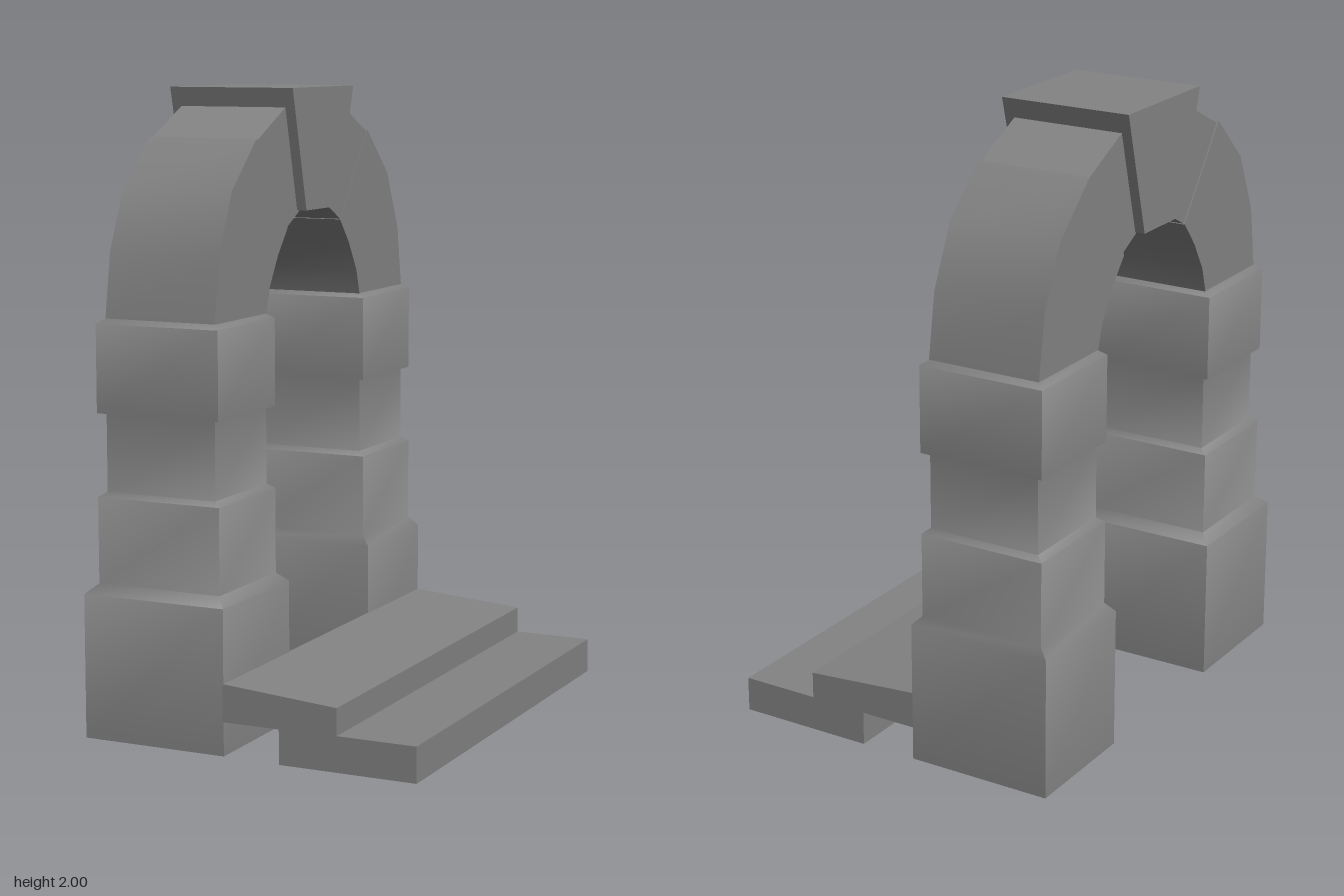
import * as THREE from 'three';
import { toCreasedNormals } from 'three/addons/utils/BufferGeometryUtils.js';

const stone = new THREE.MeshStandardMaterial({ color: 0x838383 });
const CREASE = 1.0;

// Extrudes an [x, y] outline along z, from z = 0 to depth
function extrude(points, depth) {
  const shape = new THREE.Shape(points.map(([x, y]) => new THREE.Vector2(x, y)));
  return new THREE.ExtrudeGeometry(shape, { depth, bevelEnabled: false });
}

// Extrudes a [z, y] outline along x, between x0 and x1, with softened facets
function slab(points, x0, x1) {
  const geo = extrude(points, x1 - x0).rotateY(-Math.PI / 2).translate(x1, 0, 0);
  return toCreasedNormals(geo, CREASE);
}

// Closed loft through level rectangles [y, x0, x1, z0, z1], listed upwards
function loft(rings) {
  const pos = [], index = [];
  for (const [y, x0, x1, z0, z1] of rings) {
    pos.push(x0, y, z1, x1, y, z1, x1, y, z0, x0, y, z0);
  }
  for (let r = 0; r < rings.length - 1; r++) {
    for (let i = 0; i < 4; i++) {
      const a = r * 4 + i, b = r * 4 + (i + 1) % 4;
      index.push(a, b, b + 4, a, b + 4, a + 4);
    }
  }
  const t = (rings.length - 1) * 4;
  index.push(0, 2, 1, 0, 3, 2, t, t + 1, t + 2, t, t + 2, t + 3);
  const geo = new THREE.BufferGeometry();
  geo.setAttribute('position', new THREE.Float32BufferAttribute(pos, 3));
  geo.setIndex(index);
  return toCreasedNormals(geo, CREASE);
}

export function createModel() {
  const model = new THREE.Group();
  model.name = 'archWithSteps';
  const add = (name, geo, parent) => {
    const mesh = new THREE.Mesh(geo, stone);
    mesh.name = name;
    parent.add(mesh);
    return mesh;
  };

  // Arch: piers, voussoirs and keystone
  const arch = new THREE.Group();
  arch.name = 'arch';
  arch.position.z = -0.01;
  model.add(arch);

  for (const side of [1, -1]) {
    const label = side > 0 ? 'front' : 'back';

    // Pier of stacked blocks with sloped shoulders: [x0, x1, inner z, outer z]
    const base = side > 0 ? [-0.56, -0.077, 0.291, 0.733] : [-0.555, -0.077, 0.3, 0.715];
    const block = [-0.527, -0.107, 0.324, 0.697];
    const neck = [-0.504, -0.129, 0.342, 0.678];
    const levels = [
      [0.005, base], [0.46, base], [0.49, block], [0.76, block], [0.775, neck],
      [1.02, neck], [1.02, block], [1.295, block], [1.31, neck],
    ];
    add(label + 'Pier', loft(levels.map(([y, [x0, x1, zi, zo]]) =>
      side > 0 ? [y, x0, x1, zi, zo] : [y, x0, x1, -zo, -zi])), arch);

    // Curved arch stones from the pier up to the keystone
    const mirror = (pts) => pts.map(([z, y]) => [z * side, y]);
    add(label + 'SpringerStone', slab(mirror([
      [0.342, 1.3], [0.678, 1.3], [0.645, 1.51], [0.56, 1.7], [0.4, 1.85],
      [0.19, 1.565], [0.257, 1.485], [0.315, 1.39],
    ]), -0.504, -0.128), arch);
    add(label + 'CrownStone', slab(mirror([
      [0.195, 1.565], [0.395, 1.844], [0.2, 1.94], [0.11, 1.61],
    ]), -0.498, -0.129), arch);
  }

  add('keystone', slab([
    [-0.114, 1.615], [0.122, 1.615], [0.216, 2], [-0.222, 2],
  ], -0.53, -0.096), arch);

  // Two steps with a notch beneath the upper one
  const steps = add('steps', extrude([
    [-0.08, 0.112], [0.11, 0.112], [0.11, 0.003], [0.56, 0.003],
    [0.56, 0.115], [0.302, 0.115], [0.302, 0.2], [-0.08, 0.23],
  ], 1.448), model);
  steps.position.z = -0.724;

  // The whole structure stands slightly turned
  model.rotation.y = -0.195;
  const root = new THREE.Group();
  root.name = 'archway';
  root.add(model);
  return root;
}
